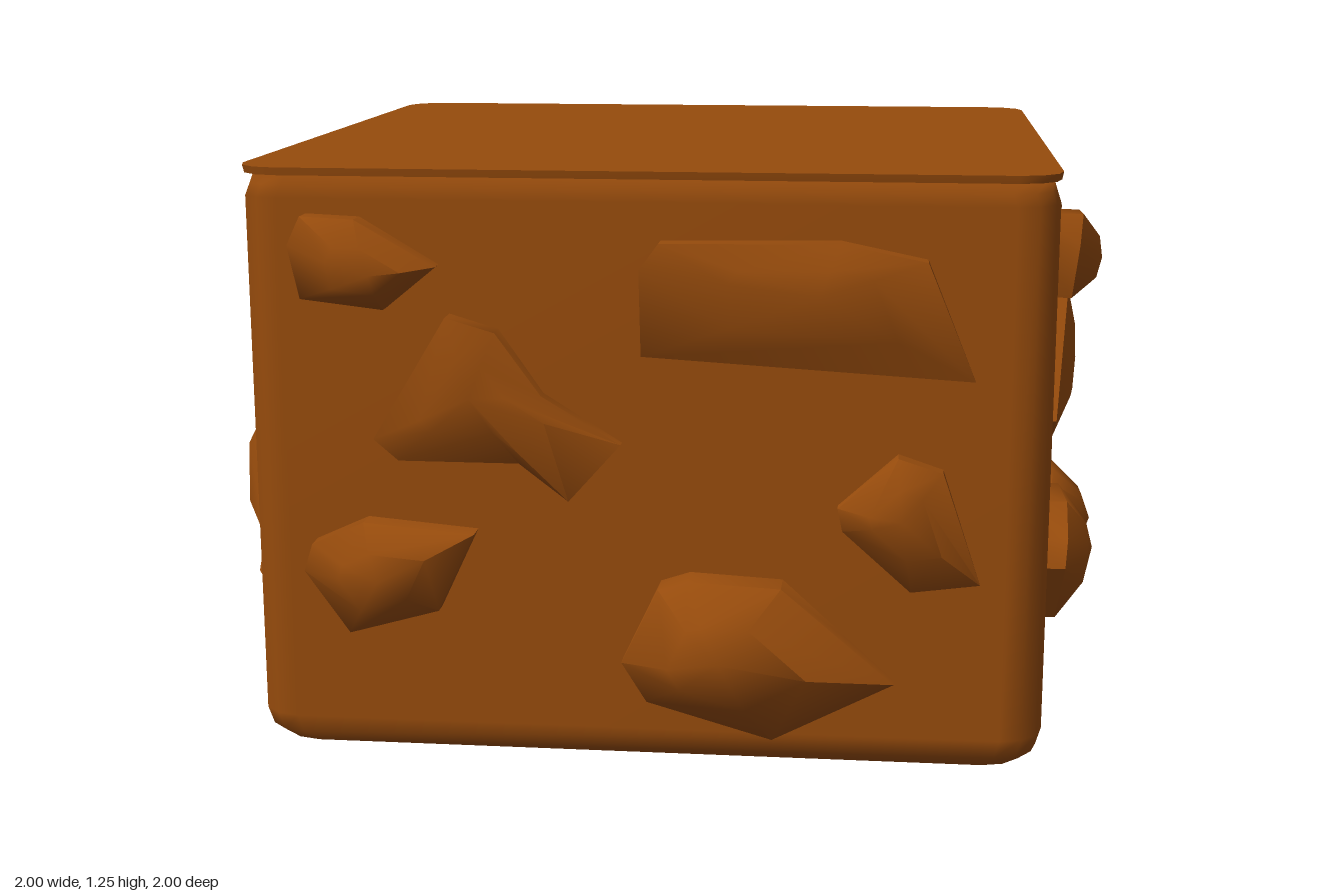
import * as THREE from 'three';
import { toCreasedNormals } from 'three/addons/utils/BufferGeometryUtils.js';

const earth = new THREE.MeshStandardMaterial({ color: 0x964b0c });
earth.name = 'earthBrown';

// Skin a stack of rings (clockwise seen from the end), with optional cap points
function loft(rings, end, start) {
  const n = rings[0].length, pos = rings.flat(2), index = [];
  const last = (rings.length - 1) * n;
  for (let k = 0; k < rings.length - 1; k++) {
    for (let i = 0; i < n; i++) {
      const a = k * n + i, b = k * n + (i + 1) % n;
      index.push(b, a, a + n, b, a + n, b + n);
    }
  }
  for (const [point, base, flip] of [[end, last, false], [start, 0, true]]) {
    if (!point) continue;
    const c = pos.length / 3;
    pos.push(...point);
    for (let i = 0; i < n; i++) {
      const a = base + i, b = base + (i + 1) % n;
      index.push(...(flip ? [a, b, c] : [b, a, c]));
    }
  }
  const g = new THREE.BufferGeometry();
  g.setAttribute('position', new THREE.Float32BufferAttribute(pos, 3));
  g.setIndex(index);
  g.computeVertexNormals();
  return g;
}

// Rounded square ring of half width h at height y
function squareRing(h, y, radius = 0.09, steps = 3) {
  const ring = [], c = h - radius;
  for (let q = 0; q < 4; q++) {
    const mid = Math.PI / 4 + q * Math.PI / 2;
    for (let s = 0; s <= steps; s++) {
      const t = (q + s / steps) * Math.PI / 2;
      ring.push([Math.sign(Math.cos(mid)) * c + radius * Math.cos(t), y,
        Math.sign(Math.sin(mid)) * c + radius * Math.sin(t)]);
    }
  }
  return ring;
}

// A stone: outline clockwise from the front, rim depth rising from its lowest
// to its highest point, a raised shoulder, then the peak
function stoneGeometry(outline, low, high, peak) {
  const ys = outline.map((p) => p[1]);
  const bottom = Math.min(...ys), top = Math.max(...ys);
  const rim = outline.map(([x, y]) => [x, y, THREE.MathUtils.mapLinear(y, bottom, top, low, high)]);
  const buried = outline.map(([x, y]) => [x, y, 0.79]);
  const shoulder = rim.map((p) => p.map((v, k) => THREE.MathUtils.lerp(v, peak[k], k < 2 ? 0.5 : 0.75)));
  return toCreasedNormals(loft([buried, rim, shoulder], peak), 0.9);
}

export function createModel() {
  const model = new THREE.Group();
  model.name = 'stonyBlock';
  const add = (parent, name, geometry) => {
    const mesh = new THREE.Mesh(geometry, earth);
    mesh.name = name;
    parent.add(mesh);
  };

  // Block with rounded bottom and a slight groove below the lid
  const levels = [[0.75, 0.005], [0.795, 0.018], [0.82, 0.045], [0.83, 0.085],
    [0.83, 1.19], [0.822, 1.215], [0.815, 1.238]];
  add(model, 'block', loft(levels.map(([h, y]) => squareRing(h, y)), [0, 1.238, 0], [0, 0, 0]));

  // Thin flat lid
  const lid = loft([squareRing(0.83, 1.236), squareRing(0.833, 1.252)], [0, 1.252, 0], [0, 1.236, 0]);
  add(model, 'lid', toCreasedNormals(lid, 0.7));

  // Stones of one side
  const upperSmall = stoneGeometry(
    [[-0.71, 1.1], [-0.68, 1.16], [-0.57, 1.155], [-0.41, 1.06], [-0.52, 0.97], [-0.69, 0.99]],
    0.86, 0.88, [-0.53, 1.05, 0.935]);
  const middle = stoneGeometry(
    [[-0.55, 0.7], [-0.39, 0.96], [-0.29, 0.93], [-0.2, 0.8], [-0.04, 0.7], [-0.15, 0.575], [-0.25, 0.655], [-0.5, 0.655]],
    0.84, 0.88, [-0.34, 0.8, 0.905]);
  const long = stoneGeometry(
    [[0, 0.88], [0, 1.06], [0.04, 1.115], [0.4, 1.12], [0.57, 1.085], [0.67, 0.84]],
    0.83, 0.88, [0.36, 1.02, 0.915]);
  const lowerSmall = stoneGeometry(
    [[-0.7, 0.42], [-0.68, 0.48], [-0.57, 0.53], [-0.34, 0.51], [-0.42, 0.34], [-0.61, 0.285]],
    0.86, 0.88, [-0.53, 0.42, 0.94]);
  const right = stoneGeometry(
    [[0.4, 0.58], [0.52, 0.69], [0.61, 0.66], [0.69, 0.42], [0.55, 0.4], [0.41, 0.53]],
    0.83, 0.87, [0.53, 0.57, 0.915]);
  const lowerBig = stoneGeometry(
    [[-0.04, 0.24], [0.04, 0.41], [0.1, 0.43], [0.29, 0.42], [0.52, 0.21], [0.27, 0.07], [0.01, 0.15]],
    0.83, 0.9, [0.17, 0.29, 1]);
  const stones = { upperSmall, middle, long, lowerSmall, right, lowerBig };

  // The same stones on all four sides
  ['front', 'left', 'back', 'right'].forEach((label, q) => {
    const side = new THREE.Group();
    side.name = `${label}Stones`;
    side.rotation.y = q * Math.PI / 2;
    for (const [name, geometry] of Object.entries(stones)) add(side, `${name}Stone`, geometry);
    model.add(side);
  });
  return model;
}
